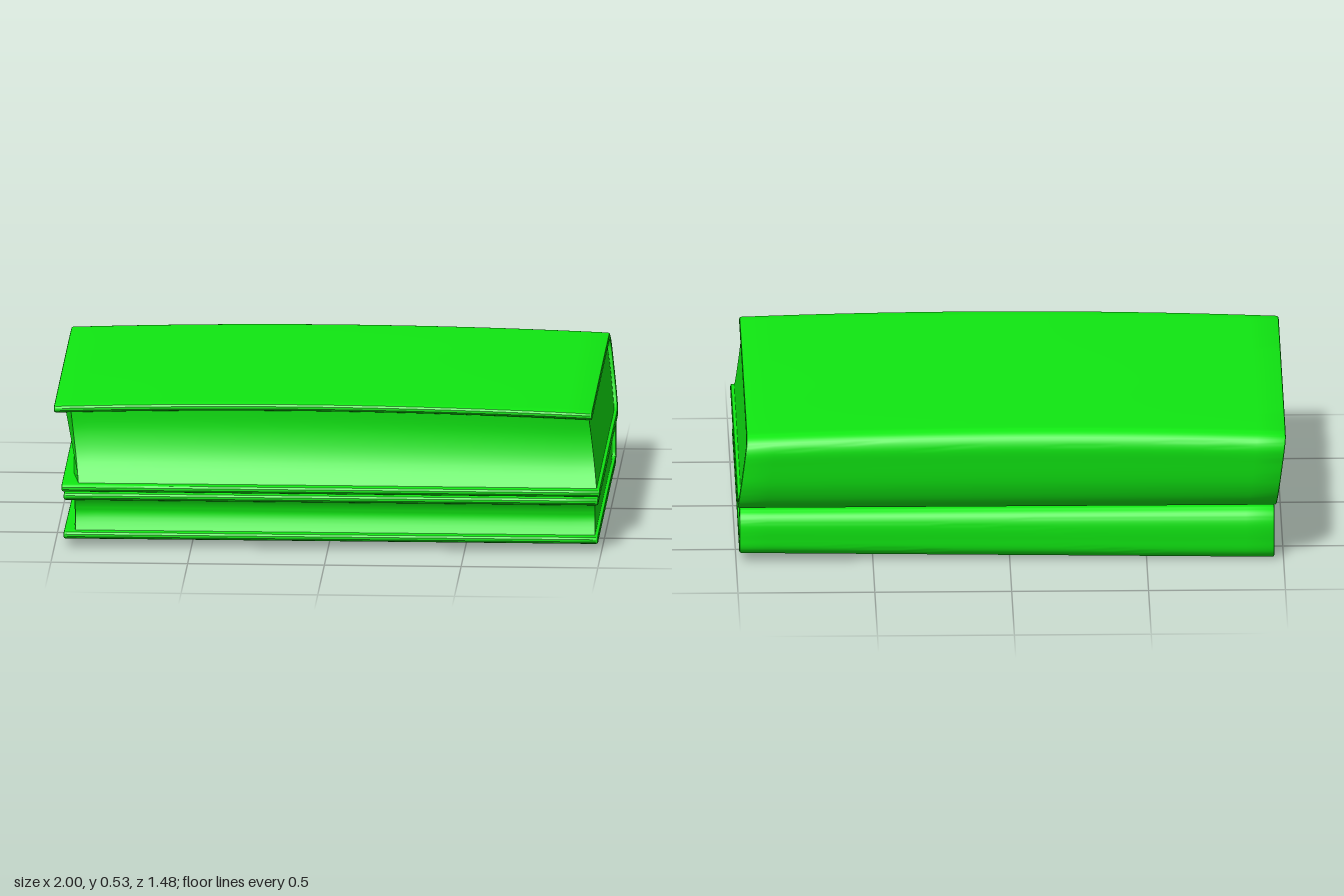
import * as THREE from 'three';
import { toCreasedNormals } from 'three/addons/utils/BufferGeometryUtils.js';

const green = new THREE.MeshStandardMaterial({ color: 0x10e812, side: THREE.DoubleSide });
const { clamp, smoothstep } = THREE.MathUtils;

// Smooth line through (z, y) points, sampled as 2D points
const smooth = (pts, n) =>
  new THREE.SplineCurve(pts.map(([z, y]) => new THREE.Vector2(z, y))).getPoints(n);

// Band of constant thickness with rounded ends, following a line
function ribbon(pts, thickness) {
  const line = smooth(pts, 80), r = thickness / 2, a = [], b = [];
  const normals = line.map((p, i) => {
    const d = line[Math.min(i + 1, line.length - 1)].clone().sub(line[Math.max(i - 1, 0)]).normalize();
    return new THREE.Vector2(-d.y, d.x);
  });
  line.forEach((p, i) => {
    a.push(p.clone().addScaledVector(normals[i], r));
    b.unshift(p.clone().addScaledVector(normals[i], -r));
  });
  const cap = (p, n) => [1, 2, 3, 4].map((k) =>
    p.clone().add(n.clone().multiplyScalar(r).rotateAround(new THREE.Vector2(), -k * Math.PI / 5)));
  const last = line.length - 1;
  return new THREE.Shape([
    ...a, ...cap(line[last], normals[last]),
    ...b, ...cap(line[0], normals[0].clone().negate()),
  ]);
}

// Extrude a (z, y) profile along x from x0 to x1, then bend it by a rule
function along(name, shape, x0, x1, bevel, bend) {
  const g = new THREE.ExtrudeGeometry(shape, {
    depth: x1 - x0 - 2 * bevel, steps: 20, bevelEnabled: bevel > 0,
    bevelSize: bevel, bevelThickness: bevel, bevelOffset: -bevel, bevelSegments: 2,
  });
  g.rotateY(-Math.PI / 2);
  g.translate(x1 - bevel, 0, 0);
  const p = g.attributes.position, v = new THREE.Vector3();
  for (let i = 0; i < p.count; i++) {
    bend(v.fromBufferAttribute(p, i));
    p.setXYZ(i, v.x, v.y, v.z);
  }
  const mesh = new THREE.Mesh(toCreasedNormals(g, 0.6), green);
  mesh.name = name;
  return mesh;
}

function book(name, { cover, thickness, fore, back, x0, x1, taper, bend }) {
  const group = new THREE.Group();
  group.name = name;
  group.add(along('cover', ribbon(cover, thickness), x0, x1, 0.007, bend));
  // Page block: hollow fore-edge and rounded back, narrowing at one front corner
  const f = smooth(fore, 14), b = smooth(back, 10);
  const top = f[0].y, low = f[f.length - 1].y;
  const block = new THREE.Shape([
    ...f, new THREE.Vector2(0.45, low), ...b, new THREE.Vector2(0.45, top),
  ]);
  group.add(along('pages', block, x0 + 0.022, x1 - 0.013, 0, (v) => {
    if (v.x < x0 + 0.03) v.x += taper * smoothstep(v.z, 0.4, 0.66);
    bend(v);
  }));
  return group;
}

export function createModel() {
  const model = new THREE.Group();
  model.name = 'stackedBooks';

  // Thin lower book, its underside twisted slightly down at one back corner
  model.add(book('lowerBook', {
    cover: [[0.725, 0.045], [0.2, 0.046], [-0.3, 0.045], [-0.58, 0.043], [-0.635, 0.054], [-0.648, 0.1],
      [-0.651, 0.155], [-0.63, 0.182], [-0.57, 0.186], [-0.2, 0.186], [0.3, 0.186], [0.71, 0.186]],
    thickness: 0.028,
    fore: [[0.71, 0.185], [0.69, 0.15], [0.685, 0.11], [0.71, 0.045]],
    back: [[-0.59, 0.045], [-0.62, 0.09], [-0.625, 0.14], [-0.6, 0.185]],
    x0: -0.967, x1: 0.988, taper: 0.02,
    bend: (v) => {
      const low = clamp((0.2 - v.y) / 0.16, 0, 1);
      v.y -= 0.028 * low * clamp((0.74 - v.z) / 1.36, 0, 1) * clamp((1 - v.x) / 2, 0, 1);
    },
  }));

  // Thick upper book, leaning toward the back and one end, with a crowned top
  model.add(book('upperBook', {
    cover: [[0.715, 0.218], [0.2, 0.219], [-0.3, 0.219], [-0.58, 0.218], [-0.655, 0.235], [-0.7, 0.31],
      [-0.722, 0.41], [-0.728, 0.475], [-0.7, 0.508], [-0.61, 0.514], [-0.2, 0.515], [0.2, 0.515], [0.647, 0.513]],
    thickness: 0.028,
    fore: [[0.64, 0.51], [0.632, 0.42], [0.65, 0.32], [0.70, 0.22]],
    back: [[-0.63, 0.22], [-0.675, 0.31], [-0.696, 0.42], [-0.68, 0.51]],
    x0: -0.975, x1: 0.995, taper: 0.04,
    bend: (v) => {
      const t = clamp((v.y - 0.22) / 0.29, 0, 1);
      v.z += 0.015 * v.x * t * smoothstep(v.z, 0, 0.64);
      v.y -= 0.02 * v.x * v.x * t;
      v.x -= 0.032 * t;
    },
  }));
  return model;
}
